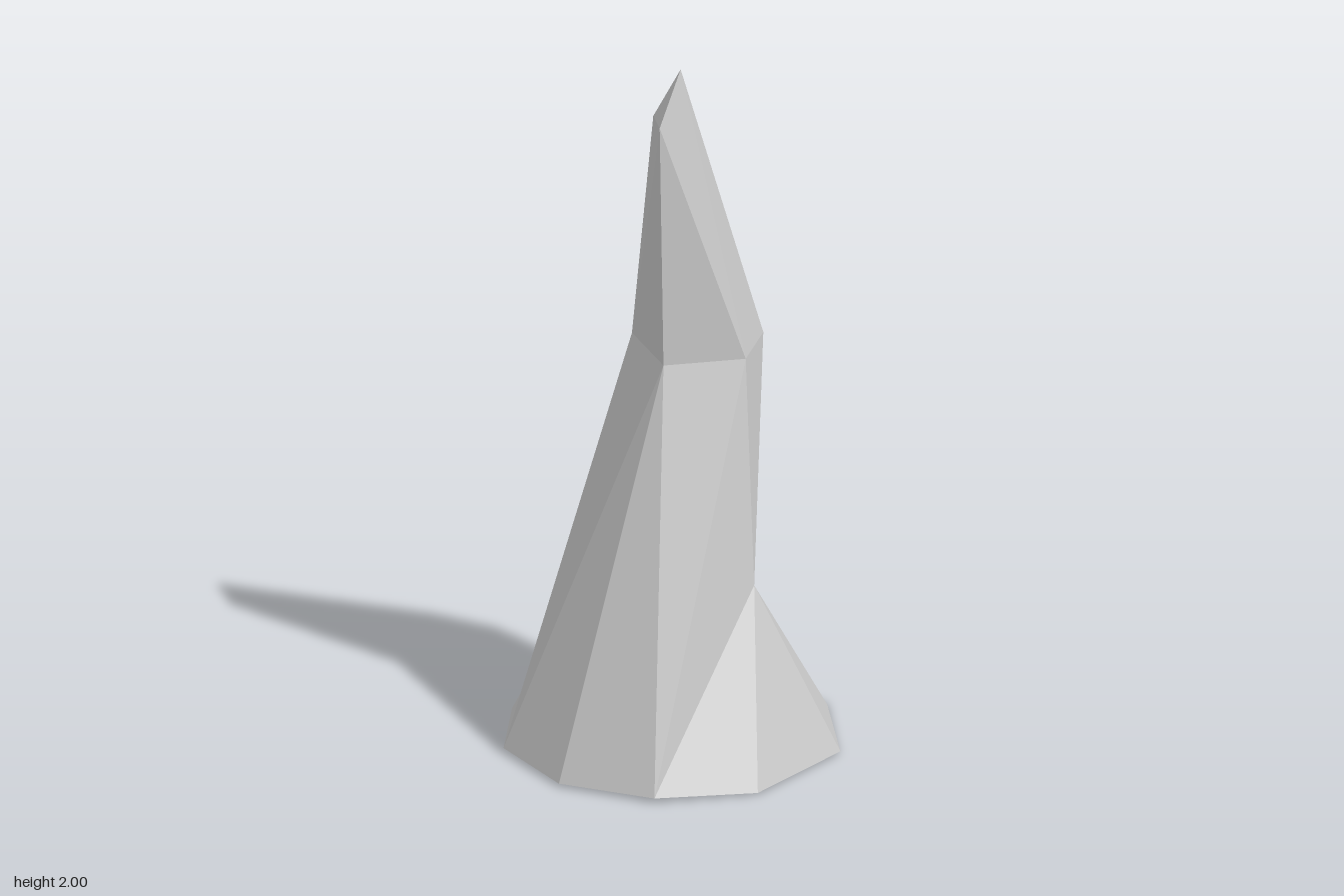
import * as THREE from 'three';

// Shared corners where the shaft's front runs straight down to the base
const shoulderBack = [-0.04, 0.5, -0.2], shoulderLeft = [0.26, 0.52, -0.08], shoulderRight = [-0.26, 0.51, 0.025];
const neckLeft = [0.17, 1.16, -0.12], neckFront = [0.05, 1.15, 0.075], neckRight = [-0.17, 1.16, 0.015];

// Closed cross-sections, each running back -> left -> front -> right
const base = [
  [0.08, 0, -0.475], [0.385, 0.01, -0.285], [0.47, 0.005, 0.07], [0.345, 0.015, 0.335], [0.09, 0.01, 0.472],
  [-0.195, 0.015, 0.445], [-0.415, 0.01, 0.245], [-0.47, 0, -0.11], [-0.345, 0, -0.345], [-0.19, 0, -0.45],
];
const shoulder = [shoulderBack, shoulderLeft, neckLeft, neckFront, neckRight, shoulderRight];
const neck = [[0.03, 1.15, -0.29], neckLeft, neckFront, neckRight, [-0.155, 1.15, -0.215]];
const crown = [[0.005, 2, -0.02], [0.02, 1.85, 0.065], [-0.08, 1.84, 0.01]];

// Joins two rings; each step moves along the lower (L) or upper (U) ring by one corner
function bridge(lower, upper, steps) {
  const triangles = [];
  let i = 0, j = 0;
  for (const step of steps) {
    const a = lower[i % lower.length], b = upper[j % upper.length];
    const tri = step === 'L'
      ? [lower[++i % lower.length], a, b]
      : [a, b, upper[++j % upper.length]];
    // Skip slivers where the rings share a corner
    if (new Set(tri).size === 3) triangles.push(...tri);
  }
  return triangles;
}

export function createModel() {
  const group = new THREE.Group();
  group.name = 'rockSpire';

  const corners = [
    ...bridge(base, shoulder, 'ULLLUULLUULLLULL'), // flared foot
    ...bridge(shoulder, neck, 'LLULULULULU'), // overhanging back
    ...bridge(neck, crown, 'LULLULUL'), // tapering spike
    crown[0], crown[2], crown[1], // chipped tip
  ];
  const geometry = new THREE.BufferGeometry();
  geometry.setAttribute('position', new THREE.Float32BufferAttribute(corners.flat(), 3));
  geometry.computeVertexNormals();

  // Open underneath, so both sides show
  const material = new THREE.MeshStandardMaterial({ color: 0xcccccc, flatShading: true, side: THREE.DoubleSide });
  const spire = new THREE.Mesh(geometry, material);
  spire.name = 'spire';
  group.add(spire);
  return group;
}
